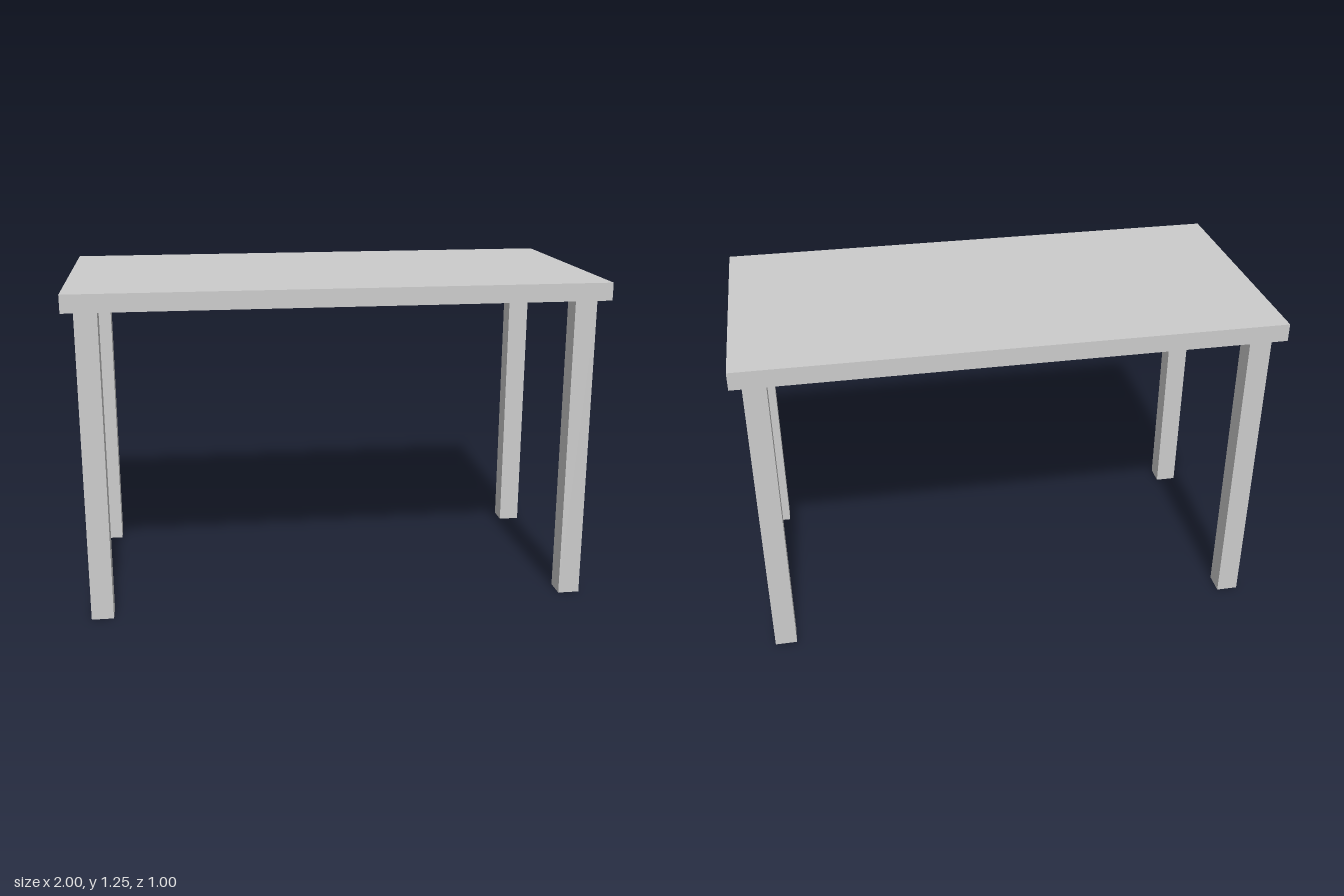
import * as THREE from 'three';

export function createModel() {
  const table = new THREE.Group();
  table.name = 'table';
  const material = new THREE.MeshStandardMaterial({ color: 0xcccccc, flatShading: true });

  const height = 1.25, topThickness = 0.0667, legWidth = 0.0833;
  const legHeight = height - topThickness;

  const addBox = (name, size, position) => {
    const mesh = new THREE.Mesh(new THREE.BoxGeometry(...size), material);
    mesh.name = name;
    mesh.position.set(...position);
    table.add(mesh);
  };

  // Rectangular slab top
  addBox('tabletop', [2, topThickness, 1], [0, height - topThickness / 2, 0]);

  // Four square legs, set in slightly from the corners
  for (const [side, x] of [['Left', 0.9167], ['Right', -0.9167]]) {
    for (const [end, z] of [['front', 0.4167], ['back', -0.4167]]) {
      addBox(`${end}${side}Leg`, [legWidth, legHeight, legWidth], [x, legHeight / 2, z]);
    }
  }

  return table;
}
